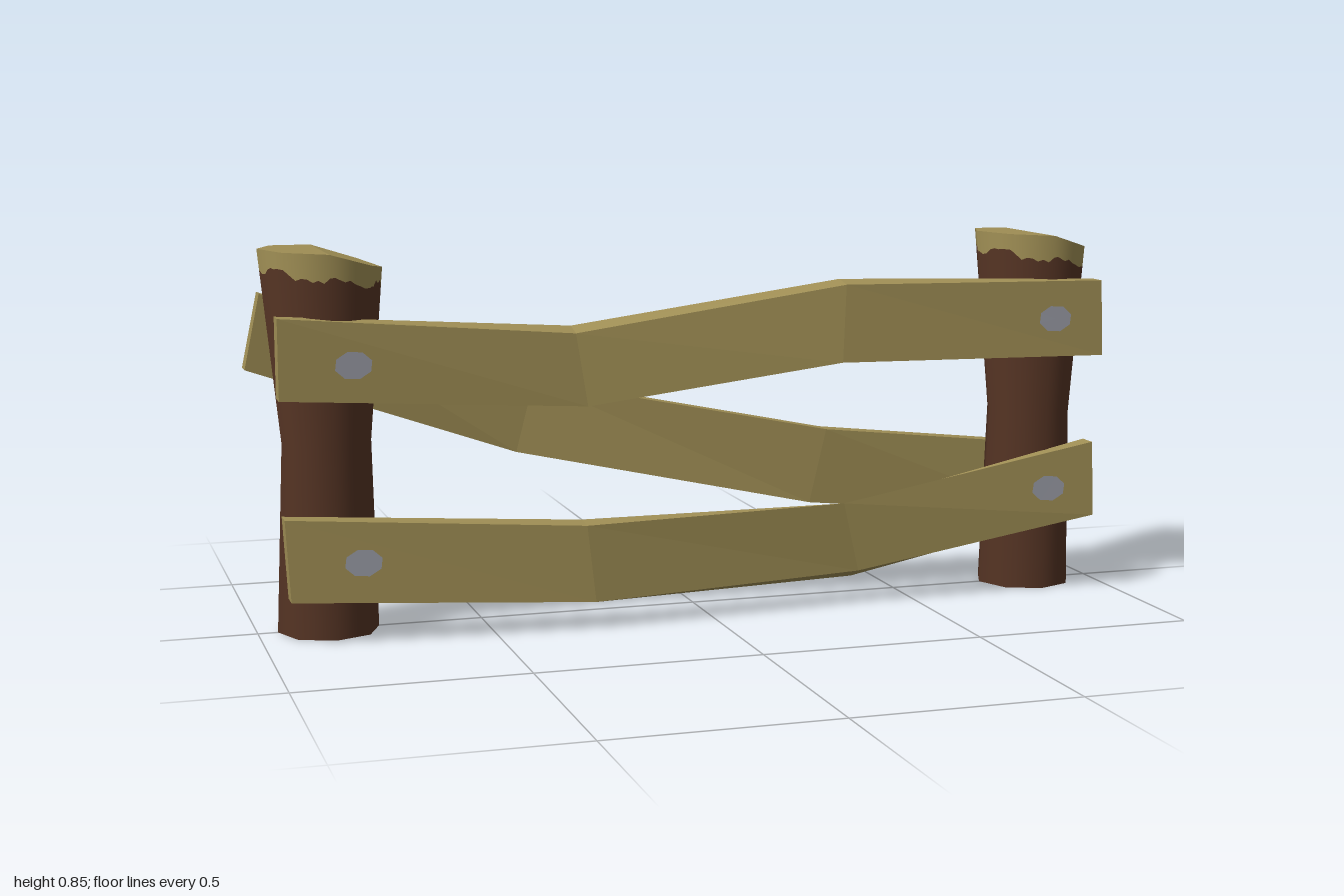
import * as THREE from 'three';

const wood = new THREE.MeshStandardMaterial({ name: 'paleWood', color: 0xa08f55 });
const bark = new THREE.MeshStandardMaterial({ name: 'darkBark', color: 0x553424 });
const iron = new THREE.MeshStandardMaterial({ name: 'greyNail', color: 0x9a9ca6 });

const V = (x, y, z) => new THREE.Vector3(x, y, z);
const lerp = THREE.MathUtils.lerp;

function makeMesh(name, points, material, radial = false) {
  const g = new THREE.BufferGeometry().setFromPoints(points);
  g.computeVertexNormals();
  if (radial) { // round shading on the eight-sided trunk
    const n = g.attributes.normal;
    points.forEach((p, i) => {
      const v = V(p.x, 0, p.z).normalize();
      n.setXYZ(i, v.x, v.y, v.z);
    });
  }
  const m = new THREE.Mesh(g, material);
  m.name = name;
  return m;
}

const addQuad = (out, a, b, c, d) => out.push(a, b, c, a, c, d);

// Post: eight-sided trunk with a slanted cut top and a ragged bark edge
function makePost(name, x) {
  const SUB = 8, N = 8 * SUB;
  let seed = 7;
  const rand = () => (seed = (seed * 16807) % 2147483647) / 2147483647;
  const oct = k => {
    const i = Math.floor(k / SUB), t = (k % SUB) / SUB;
    const a = i * Math.PI / 4, b = a + Math.PI / 4;
    return [lerp(Math.cos(a), Math.cos(b), t), lerp(Math.sin(a), Math.sin(b), t)];
  };
  const cols = [];
  for (let k = 0; k < N; k++) {
    const [c, s] = oct(k);
    const foot = V(c * 0.112, 0, s * 0.112);
    const waist = V(0.005 + c * 0.098, 0.42, s * 0.108);
    const top = V(c * 0.135, 0.84 - c * (c < 0 ? 0.005 : 0.041), s * 0.14);
    const edgeY = 0.782 - 0.02 * c + (rand() - 0.5) * 0.014 + 0.008 * Math.sin(k * 0.55);
    const edge = waist.clone().lerp(top, (edgeY - 0.42) / (top.y - 0.42));
    cols.push([foot, waist, edge, top]);
  }
  const trunk = [], rim = [], cuts = [];
  for (let k = 0; k < N; k++) {
    const p = cols[k], q = cols[(k + 1) % N];
    for (let r = 0; r < 3; r++) addQuad(r < 2 ? trunk : rim, p[r], p[r + 1], q[r + 1], q[r]);
    cuts.push(V(0, 0.84, 0), q[3], p[3], V(0, 0, 0), p[0], q[0]);
  }
  const post = new THREE.Group();
  post.name = name;
  post.add(
    makeMesh('barkTrunk', trunk, bark, true),
    makeMesh('bareRim', rim, wood, true),
    makeMesh('cutEnds', cuts, wood)
  );
  post.position.x = x;
  return post;
}

// Plank: bent board; each station is
// [top x, top y, bottom x, bottom y, outer z at top, outer z at bottom, inner edge lift]
function makePlank(name, side, stations, nails) {
  const thick = 0.047;
  const rings = stations.map(([xt, yt, xb, yb, zt, zb, lift]) => {
    const ring = [
      V(xt, yt, side * zt), V(xb, yb, side * zb),
      V(xb, yb + lift, side * (zb - thick)), V(xt, yt + lift, side * (zt - thick))
    ];
    return side > 0 ? ring : ring.reverse();
  });
  const pts = [];
  for (let i = 0; i < rings.length - 1; i++) {
    const a = rings[i], b = rings[i + 1];
    for (let k = 0; k < 4; k++) {
      const n = (k + 1) % 4;
      addQuad(pts, a[k], a[n], b[n], b[k]);
    }
  }
  const first = rings[0], last = rings[rings.length - 1];
  addQuad(pts, first[0], first[3], first[2], first[1]);
  addQuad(pts, last[0], last[1], last[2], last[3]);

  const plank = new THREE.Group();
  plank.name = name;
  plank.add(makeMesh('board', pts, wood));

  // Nail heads: thin plates following the board's outer face
  nails.forEach(([nx, ny]) => {
    const i = nx < 0 ? 0 : stations.length - 2;
    const a = stations[i], b = stations[i + 1];
    const place = (x, y) => {
      const t = (x - (a[0] + a[2]) / 2) / ((b[0] + b[2] - a[0] - a[2]) / 2);
      const v = (y - lerp(a[3], b[3], t)) / (lerp(a[1], b[1], t) - lerp(a[3], b[3], t));
      return V(x, y, side * (lerp(lerp(a[5], b[5], t), lerp(a[4], b[4], t), v) + 0.004));
    };
    const head = [];
    for (let k = 0; k < 8; k++) {
      const at = j => place(nx + 0.042 * Math.cos(side * j * Math.PI / 4 + 0.3),
        ny + 0.031 * Math.sin(side * j * Math.PI / 4 + 0.3));
      head.push(place(nx, ny), at(k), at(k + 1));
    }
    plank.add(makeMesh('nailHead', head, iron));
  });
  return plank;
}

export function createModel() {
  const fence = new THREE.Group();
  fence.name = 'woodenFence';
  fence.add(
    makePost('rightPost', -0.844),
    makePost('leftPost', 0.835),
    makePlank('upperFrontPlank', 1, [
      [-0.96, 0.71, -0.96, 0.535, 0.155, 0.155, 0],
      [-0.305, 0.652, -0.28, 0.49, 0.118, 0.124, 0.012],
      [0.31, 0.745, 0.3, 0.57, 0.165, 0.173, 0.009],
      [0.95, 0.735, 0.955, 0.56, 0.152, 0.155, 0]
    ], [[-0.8, 0.605], [0.83, 0.65]]),
    makePlank('lowerFrontPlank', 1, [
      [-0.955, 0.28, -0.945, 0.1, 0.155, 0.155, 0],
      [-0.3, 0.235, -0.28, 0.062, 0.185, 0.183, 0.005],
      [0.32, 0.24, 0.36, 0.078, 0.137, 0.127, -0.022],
      [0.935, 0.355, 0.942, 0.18, 0.155, 0.155, 0]
    ], [[-0.79, 0.18], [0.825, 0.25]]),
    makePlank('backPlank', -1, [
      [-0.965, 0.738, -1, 0.57, 0.145, 0.15, 0],
      [-0.34, 0.515, -0.385, 0.352, 0.185, 0.176, 0],
      [0.36, 0.375, 0.32, 0.2, 0.136, 0.14, 0],
      [0.997, 0.303, 0.96, 0.13, 0.152, 0.146, 0]
    ], [[-0.83, 0.605], [0.83, 0.235]])
  );
  return fence;
}
